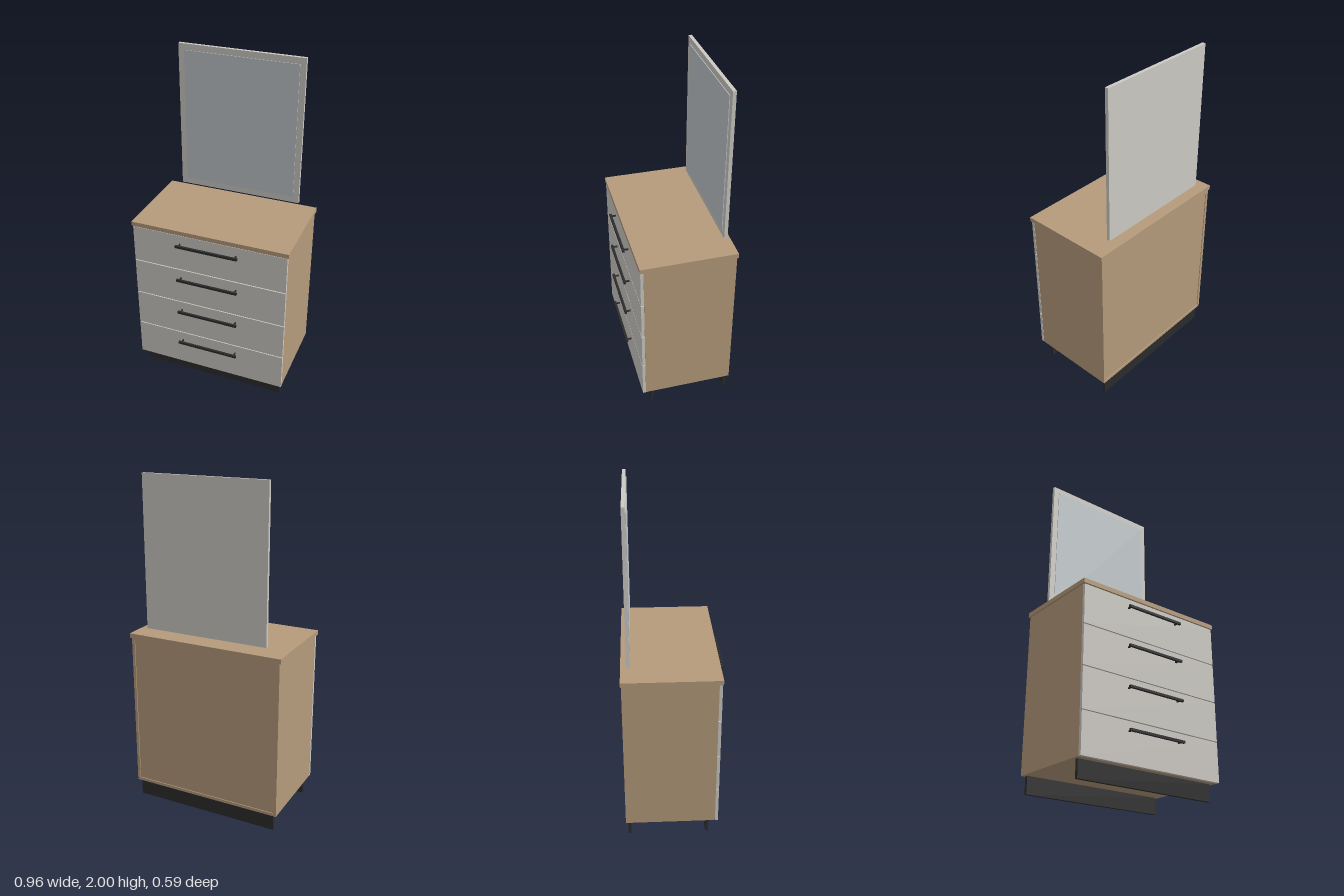
import * as THREE from 'three';

const material = (color) => new THREE.MeshStandardMaterial({ color });

export function createModel() {
  const model = new THREE.Group();
  model.name = 'dresserWithMirror';
  const wood = material(0xb59b7b);
  const pale = material(0xcdcac4);
  const black = material(0x2b2b2b);
  const glass = material(0xc0c6ca);

  // Box given by its lower and upper limits on each axis
  function box(name, mat, [x0, x1], [y0, y1], [z0, z1], parent = model) {
    const mesh = new THREE.Mesh(new THREE.BoxGeometry(x1 - x0, y1 - y0, z1 - z0), mat);
    mesh.position.set((x0 + x1) / 2, (y0 + y1) / 2, (z0 + z1) / 2);
    mesh.name = name;
    parent.add(mesh);
    return mesh;
  }

  // Carcass: side, bottom and top panels around a slightly recessed back
  const carcass = new THREE.Group();
  carcass.name = 'carcass';
  model.add(carcass);
  const W = 0.473, T = 0.018, inner = W - T;
  const depth = [-0.292, 0.24];
  box('leftSide', wood, [inner, W], [0.1, 1.045], depth, carcass);
  box('rightSide', wood, [-W, -inner], [0.1, 1.045], depth, carcass);
  box('bottomPanel', wood, [-inner, inner], [0.1, 0.1 + T], depth, carcass);
  box('topRail', wood, [-inner, inner], [1.045 - T, 1.045], depth, carcass);
  box('backPanel', wood, [-inner, inner], [0.1 + T, 1.045 - T], [-0.287, -0.278], carcass);

  // Overhanging worktop
  box('worktop', wood, [-0.482, 0.482], [1.045, 1.072], [-0.297, 0.263]);

  // Plinth boards
  box('frontPlinth', black, [-0.452, 0.452], [0, 0.1], [0.186, 0.204]);
  box('backPlinth', black, [-0.452, 0.452], [0, 0.1], [-0.279, -0.261]);

  // Four drawers, each with a front and a bar handle on two posts
  const pitch = 0.2365;
  for (let i = 0; i < 4; i++) {
    const drawer = new THREE.Group();
    drawer.name = `drawer${i + 1}`;
    drawer.position.y = 0.1 + i * pitch;
    model.add(drawer);
    box('drawerFront', pale, [-0.474, 0.474], [0, 0.231], [0.241, 0.259], drawer);
    box('handleBar', black, [-0.19, 0.19], [0.168, 0.182], [0.283, 0.297], drawer);
    for (const x of [-0.173, 0.173]) {
      box('handlePost', black, [x - 0.004, x + 0.004], [0.171, 0.179], [0.259, 0.283], drawer);
    }
  }

  // Mirror hanging above the worktop
  const mirror = new THREE.Group();
  mirror.name = 'mirror';
  model.add(mirror);
  box('mirrorBacking', pale, [-0.38, 0.38], [1.11, 2], [-0.263, -0.243], mirror);
  box('mirrorGlass', glass, [-0.345, 0.345], [1.147, 1.963], [-0.243, -0.239], mirror);

  return model;
}
